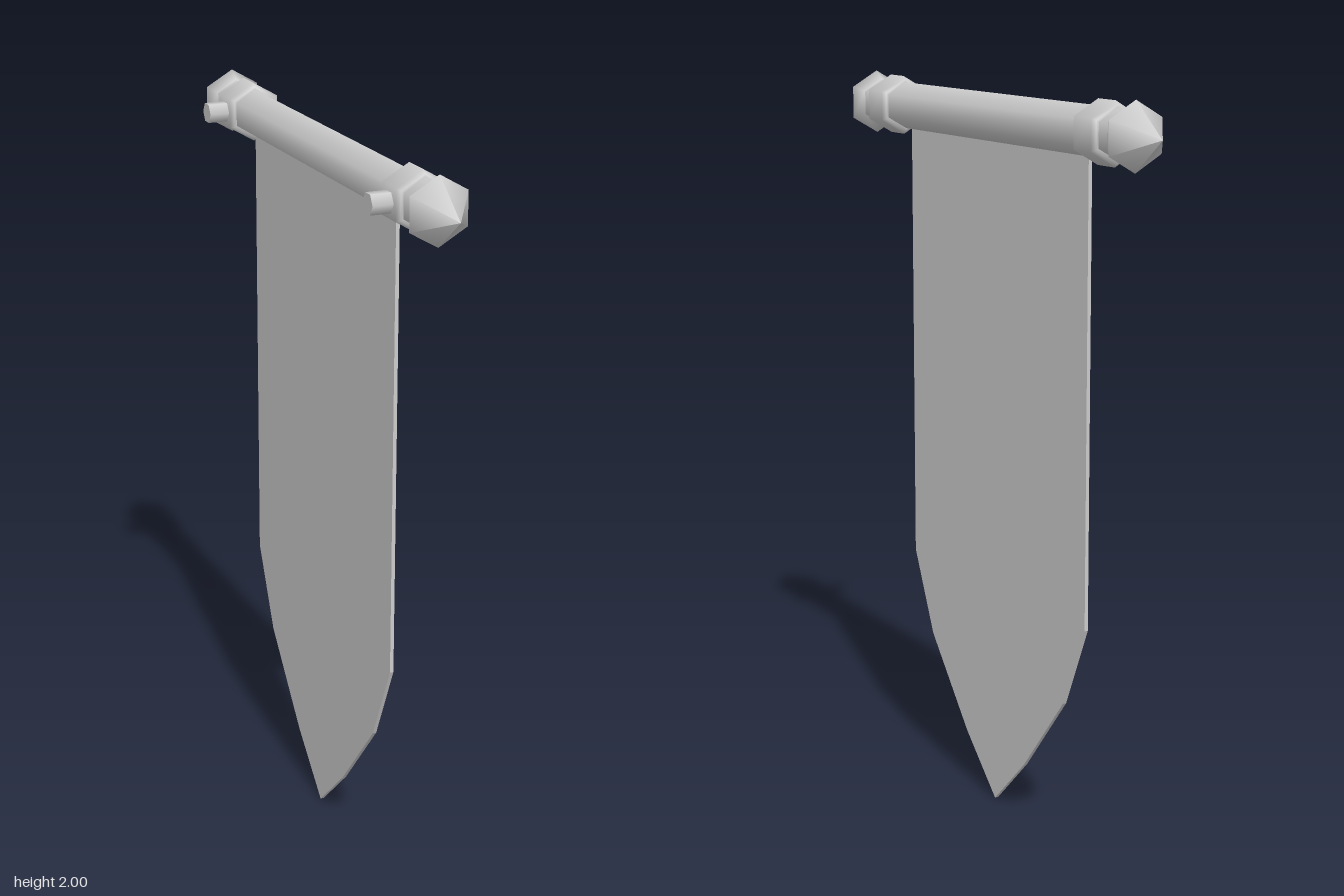
import * as THREE from 'three';

const AXIS_X = 0.02, AXIS_Y = 1.912;

export function createModel() {
  const root = new THREE.Group();
  root.name = 'hangingBanner';
  const grey = new THREE.MeshStandardMaterial({ color: 0xcccccc });
  grey.name = 'light grey';

  const add = (name, geometry, parent = root) => {
    const mesh = new THREE.Mesh(geometry, grey);
    mesh.name = name;
    parent.add(mesh);
    return mesh;
  };
  // six-sided turned piece along z, profile given as [radius, distance]
  const turned = (profile) => new THREE.LatheGeometry(
    profile.map(([r, d]) => new THREE.Vector2(r, d)), 6).rotateX(Math.PI / 2);

  // pole
  const pole = add('pole', turned([[0.064, -0.64], [0.064, 0.64]]));
  pole.position.set(AXIS_X, AXIS_Y, 0);

  // collar, wall peg and pointed finial at each end
  for (const [label, side] of [['front', 1], ['back', -1]]) {
    const end = new THREE.Group();
    end.name = label + 'End';
    end.position.set(AXIS_X, AXIS_Y, 0);
    if (side < 0) end.rotation.x = Math.PI;
    root.add(end);
    add(label + 'Collar', turned([
      [0.06, 0.491], [0.072, 0.491], [0.081, 0.503], [0.081, 0.58], [0.072, 0.592], [0.06, 0.592],
    ]), end);
    add(label + 'Finial', turned([
      [0.06, 0.632], [0.066, 0.634], [0.088, 0.668], [0, 0.782],
    ]), end);
    const peg = add(label + 'Peg', new THREE.CylinderGeometry(0.029, 0.029, 0.08, 6).rotateZ(Math.PI / 2), end);
    peg.position.set(-0.085, 0, 0.54);
  }

  // pointed cloth, hung from inside the pole
  const half = [[0.46, 1.9], [0.46, 0.62], [0.357, 0.39], [0.158, 0.152]];
  const outline = [...half, [0, 0], ...half.map(([z, y]) => [-z, y]).reverse()];
  const shape = new THREE.Shape(outline.map(([z, y]) => new THREE.Vector2(z, y)));
  const cloth = new THREE.ExtrudeGeometry(shape, { depth: 0.01, bevelEnabled: false });
  cloth.rotateY(Math.PI / 2);
  add('cloth', cloth).position.x = 0.008;

  return root;
}
